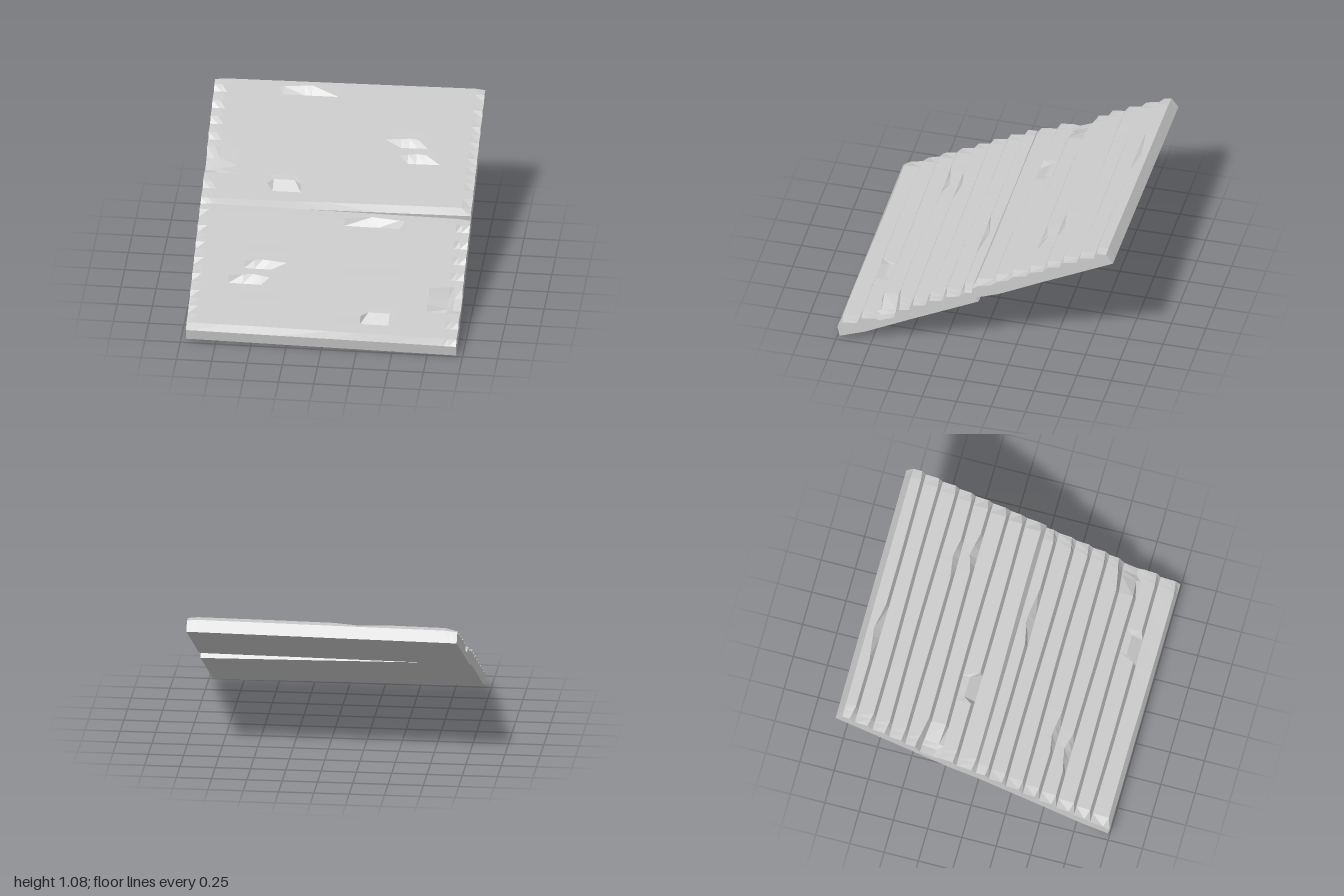
import * as THREE from 'three';

// x positions of the cross-sections, including the knots of every chip
const COLUMNS = [-0.96, -0.89, -0.7, -0.6, -0.53, -0.47, -0.41, -0.3, 0.07, 0.26, 0.31, 0.46, 0.5, 0.72, 0.86, 0.9, 0.955];
const RISER_Z = [0.995, 0.86, 0.735, 0.61, 0.487, 0.362, 0.243, 0.12];
const RISE = 0.0615;

// chips bitten out of step noses: step index, start, deepest span, end, depth
const CHIPS = [
  { step: 1, x: [0.26, 0.31, 0.46, 0.5], depth: 0.06 },
  { step: 3, x: [-0.7, -0.53, -0.53, -0.41], depth: 0.035 },
  { step: 4, x: [-0.6, -0.47, -0.47, -0.3], depth: 0.025 },
  { step: 7, x: [0.07, 0.26, 0.26, 0.5], depth: 0.035 },
];

const clamp01 = (t) => Math.min(1, Math.max(0, t));

function chipDepth(step, x) {
  let d = 0;
  for (const c of CHIPS) {
    if (c.step !== step) continue;
    const [a, b, e, f] = c.x;
    d += c.depth * Math.min(clamp01((x - a) / (b - a)), clamp01((f - x) / (f - e)));
  }
  return d;
}

// small repeatable variation per step and side
const vary = (n) => 0.5 + 0.5 * Math.sin(n * 12.9898 + 1.7);

// closed outline [z, y] of the flight at one x: up the steps, then back along the underside
function profile(x) {
  const pts = [[0.985, 0.017], [1.0, 0.095]];
  const end = x > 0 ? clamp01((x - 0.86) / 0.095) : clamp01((-x - 0.89) / 0.07);
  const gouge = clamp01((x - 0.72) / 0.18);
  RISER_Z.forEach((z, i) => {
    const wear = end * (0.35 + 0.65 * vary(i + (x > 0 ? 20 : 0)));
    const wobble = 0.004 * Math.sin(x * 3 + i * 2.1);
    const top = 0.145 + RISE * i;
    let baseY = top - RISE + 0.008, noseY = top - 0.016 * wear;
    let noseZ = z - 0.018 - 0.025 * wear - chipDepth(i, x) + wobble, baseZ = z + wobble;
    // broken corner on the third step
    if (i === 2) { noseY -= 0.055 * gouge; noseZ -= 0.02 * gouge; }
    if (i === 3) { baseY -= 0.025 * gouge; baseZ -= 0.02 * gouge; noseZ -= 0.03 * gouge; }
    if (i > 0) pts.push([baseZ, baseY]);
    pts.push([noseZ, noseY]);
  });
  pts.push([0.025, 0.58 - 0.008 * end], [-0.025, 0.505], [0.49, 0.247], [0.8, 0.087]);
  // the slab rolls slightly to one side
  return pts.map(([z, y]) => [z, y - 0.012 * x]);
}

// skin the outlines and close both ends; mirror = -1 flips the slab in x
function flightGeometry(mirror) {
  const sections = COLUMNS.map(profile);
  const n = sections[0].length;
  const pos = [], index = [];
  sections.forEach((s, j) => s.forEach(([z, y]) => pos.push(COLUMNS[j] * mirror, y, z)));
  const tri = (a, b, c) => (mirror > 0 ? index.push(a, b, c) : index.push(a, c, b));

  for (let j = 0; j < COLUMNS.length - 1; j++) {
    for (let k = 0; k < n; k++) {
      const a = j * n + k, b = j * n + ((k + 1) % n);
      tri(a, a + n, b + n);
      tri(a, b + n, b);
    }
  }
  for (const j of [0, COLUMNS.length - 1]) {
    const p = sections[j].map(([z, y]) => new THREE.Vector2(z, y));
    for (const [a, b, c] of THREE.ShapeUtils.triangulateShape(p, [])) {
      const clockwise = THREE.ShapeUtils.area([p[a], p[b], p[c]]) < 0;
      const o = j * n;
      if (clockwise === (j > 0)) tri(o + a, o + b, o + c);
      else tri(o + a, o + c, o + b);
    }
  }
  const indexed = new THREE.BufferGeometry();
  indexed.setAttribute('position', new THREE.Float32BufferAttribute(pos, 3));
  indexed.setIndex(index);
  const geometry = indexed.toNonIndexed();
  geometry.computeVertexNormals();
  return geometry;
}

export function createModel() {
  const group = new THREE.Group();
  group.name = 'stoneStairs';
  const material = new THREE.MeshStandardMaterial({ color: 0xcccccc, flatShading: true });

  const lower = new THREE.Mesh(flightGeometry(1), material);
  lower.name = 'lowerFlight';

  // same worn slab, mirrored and stacked on behind
  const upper = new THREE.Mesh(flightGeometry(-1), material);
  upper.name = 'upperFlight';
  upper.position.set(-0.005, 0.49, -0.975);

  group.add(lower, upper);
  group.position.y = -0.005;
  return group;
}
